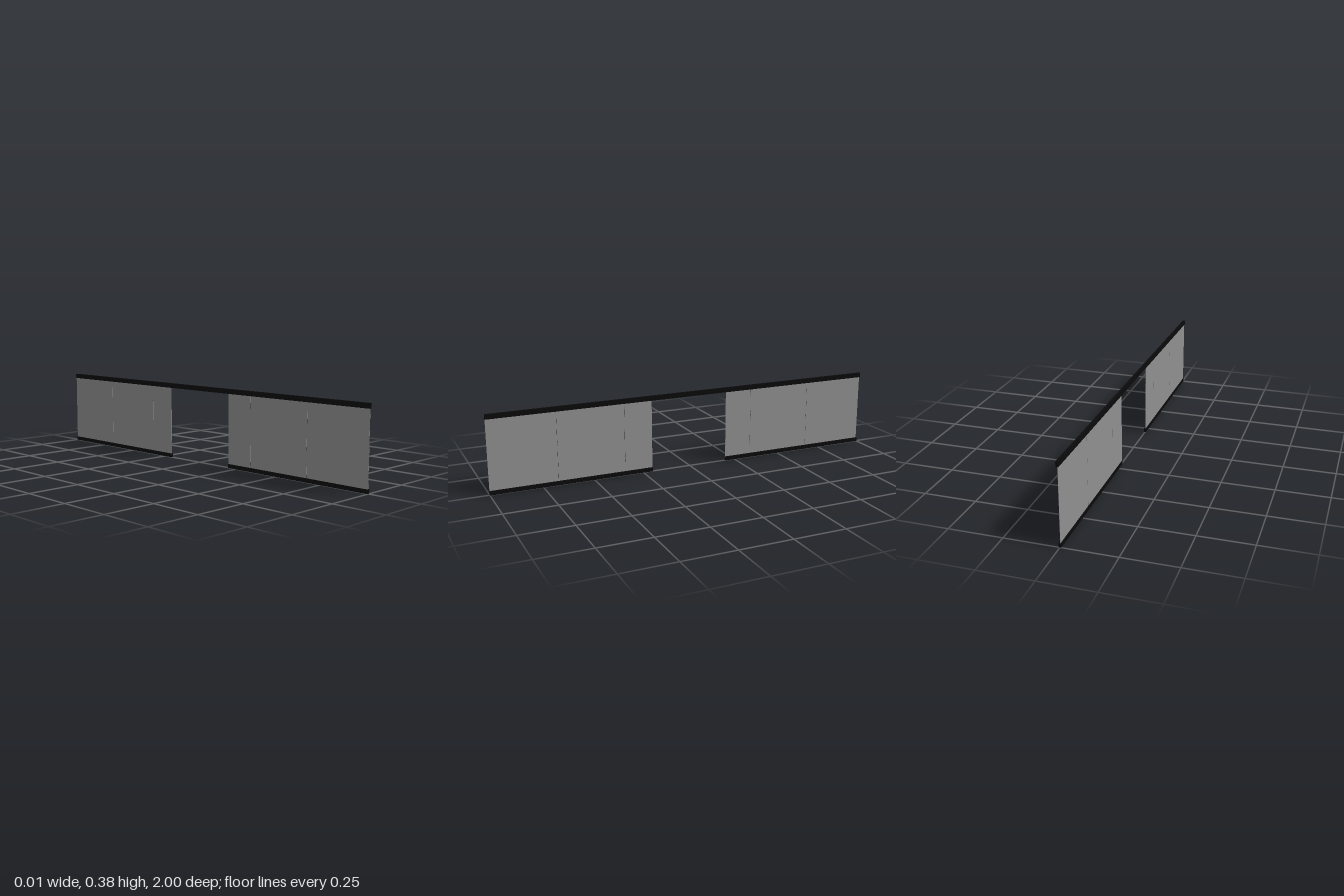
import * as THREE from 'three';

export function createModel() {
  const model = new THREE.Group();
  model.name = 'glassPartition';
  const railMaterial = new THREE.MeshStandardMaterial({ color: 0x0a0a0b });
  const glassMaterial = new THREE.MeshStandardMaterial({ color: 0x8f8f8f });

  // Box given by its x, y and z ranges
  function addBox(parent, name, material, [x0, x1], [y0, y1], [z0, z1]) {
    const mesh = new THREE.Mesh(new THREE.BoxGeometry(x1 - x0, y1 - y0, z1 - z0), material);
    mesh.position.set((x0 + x1) / 2, (y0 + y1) / 2, (z0 + z1) / 2);
    mesh.name = name;
    parent.add(mesh);
  }

  const railX = [-0.006, 0.006];
  const glassX = [-0.003, -0.002];
  const opening = 0.2;
  const seams = [opening, 0.341, 0.674, 1];
  const gap = 0.0006;

  // Continuous head rail across the opening
  addBox(model, 'topRail', railMaterial, railX, [0.358, 0.381], [-1, 1]);

  // One run of panes on each side of the opening, standing on its own sill
  for (const side of [1, -1]) {
    const run = new THREE.Group();
    run.name = side > 0 ? 'frontRun' : 'backRun';
    const span = (a, b) => (side > 0 ? [a, b] : [-b, -a]);
    addBox(run, 'bottomRail', railMaterial, railX, [0, 0.019], span(opening, 1));
    for (let i = 0; i < 3; i++) {
      const start = seams[i] + (i > 0 ? gap : 0);
      const end = seams[i + 1] - (i < 2 ? gap : 0);
      addBox(run, 'glassPane' + (i + 1), glassMaterial, glassX, [0.019, 0.358], span(start, end));
    }
    model.add(run);
  }
  return model;
}
